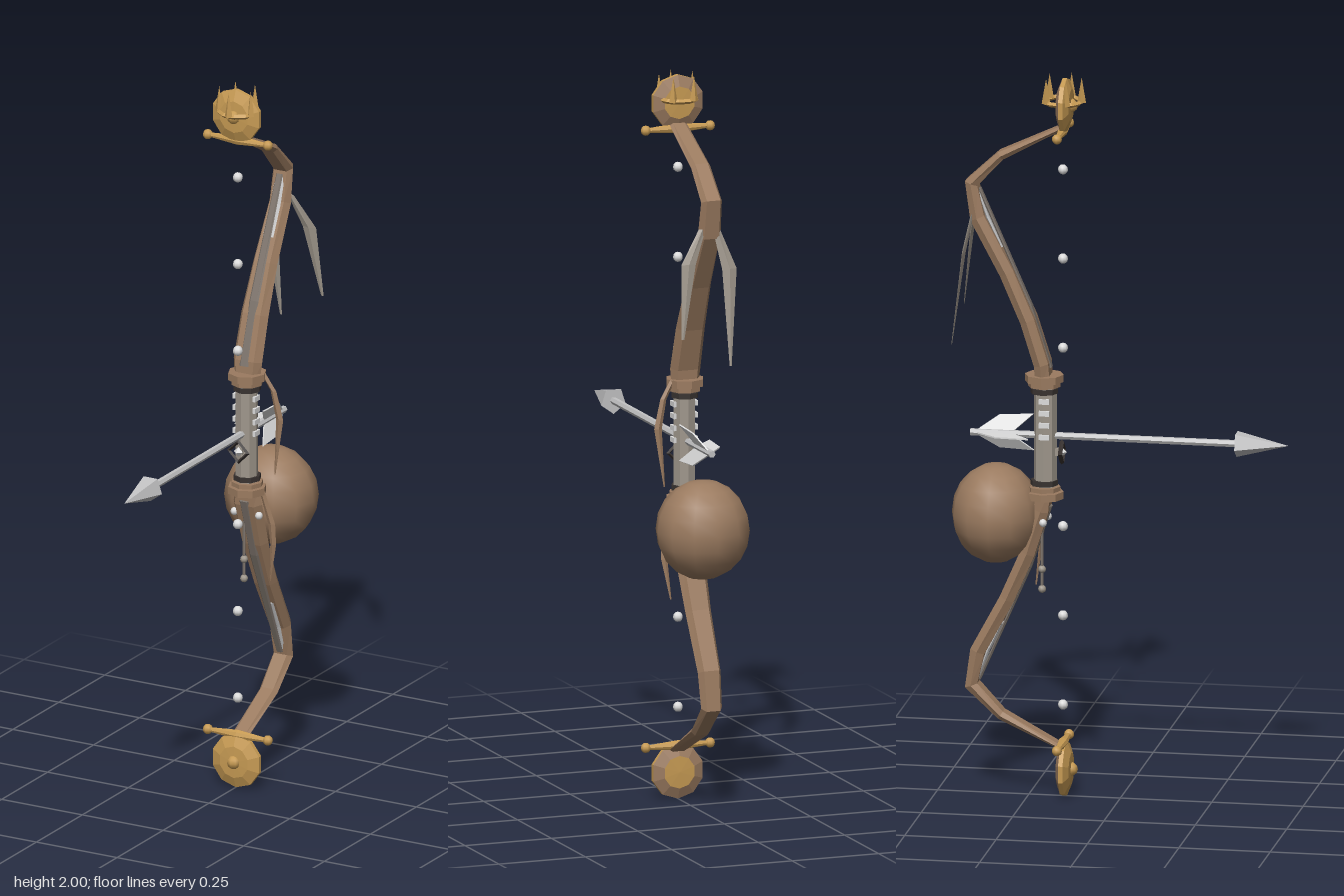
import * as THREE from 'three';

const mat = (name, color) => {
  const m = new THREE.MeshStandardMaterial({ color });
  m.name = name;
  return m;
};

// Faceted copy of a geometry
const facet = (g) => {
  const f = g.index ? g.toNonIndexed() : g;
  f.computeVertexNormals();
  return f;
};

const SLAB = [[1, 0], [0.65, 1], [-0.65, 1], [-1, 0], [-0.65, -1], [0.65, -1]];
const BLADE = [[1, 0], [0, 1], [-1, 0], [0, -1]];

// Skin through stations [x, y, z, halfWidth, halfThickness]; width runs along x
function loft(stations, section) {
  const n = section.length, pos = [], idx = [];
  stations.forEach(([x, y, z, w, t], i) => {
    const a = stations[Math.max(0, i - 1)], b = stations[Math.min(stations.length - 1, i + 1)];
    const dy = b[1] - a[1], dz = b[2] - a[2], l = Math.hypot(dy, dz);
    for (const [u, v] of section) pos.push(x + u * w, y - (dz / l) * v * t, z + (dy / l) * v * t);
  });
  for (let i = 0; i < stations.length - 1; i++) {
    for (let j = 0; j < n; j++) {
      const a = i * n + j, b = i * n + (j + 1) % n;
      idx.push(a, a + n, b, b, a + n, b + n);
    }
  }
  const last = (stations.length - 1) * n;
  for (let j = 1; j < n - 1; j++) idx.push(0, j, j + 1, last, last + j + 1, last + j);
  const g = new THREE.BufferGeometry();
  g.setAttribute('position', new THREE.Float32BufferAttribute(pos, 3));
  g.setIndex(idx);
  return facet(g);
}

const lathe = (profile) => new THREE.LatheGeometry(profile.map(([r, y]) => new THREE.Vector2(r, y)), 10);

export function createModel() {
  const root = new THREE.Group();
  root.name = 'bow';
  const wood = mat('brown wood', 0x9b7b60);
  const gold = mat('gold', 0xc69a53);
  const steel = mat('steel', 0xc2c2c3);
  const silver = mat('silver', 0xdcdcdc);
  const dark = mat('dark iron', 0x383230);
  const grey = mat('warm grey', 0x9e968b);
  const inlayMat = mat('inlay grey', 0x7b726a);

  const place = (name, g, m, x, y, z, parent) => {
    const mesh = new THREE.Mesh(g, m);
    mesh.name = name;
    mesh.position.set(x, y, z);
    parent.add(mesh);
    return mesh;
  };
  const add = (name, g, m, x = 0, y = 0, z = 0, parent = root) => place(name, facet(g), m, x, y, z, parent);
  const addBall = (name, r, m, x, y, z) => place(name, new THREE.SphereGeometry(r, 8, 6), m, x, y, z, root);
  const SZ = -0.157; // depth of the string line

  for (const s of [1, -1]) {
    const side = s > 0 ? 'upper' : 'lower';
    const Y = (h) => (s > 0 ? 1 + h : 0.995 - h);

    // Recurved limb
    add(side + 'Limb', loft([
      [0, Y(0.14), -0.208, 0.038, 0.02],
      [0, Y(0.2), -0.212, 0.044, 0.02],
      [0, Y(0.32), -0.25, 0.042, 0.02],
      [0, Y(0.45), -0.307, 0.037, 0.02],
      [0, Y(0.6), -0.388, 0.033, 0.02],
      [0, Y(0.695), -0.405, 0.03, 0.018],
      [0, Y(0.775), -0.325, 0.028, 0.012],
      [0, Y(0.86), SZ, 0.025, 0.006],
    ], SLAB), wood);

    // Straight inlay in front of the limb, with a bright strip behind it at the bend
    add(side + 'Inlay', loft([
      [0, Y(0.19), -0.19, 0.014, 0.004],
      [0, Y(0.36), -0.245, 0.014, 0.004],
      [0, Y(0.68), -0.385, 0.01, 0.004],
    ], SLAB), inlayMat);
    add(side + 'BendStrip', loft([
      [0, Y(0.52), -0.322, 0.016, 0.003],
      [0, Y(0.6), -0.361, 0.016, 0.004],
      [0, Y(0.68), -0.39, 0.014, 0.003],
    ], SLAB), steel);

    // Collars at the grip
    add(side + 'Collar', new THREE.CylinderGeometry(0.053, 0.053, 0.02, 8), wood, 0, Y(0.16), -0.208);
    add(side + 'CollarRim', new THREE.CylinderGeometry(0.044, 0.044, 0.012, 8), wood, 0, Y(0.142), -0.208);
    add(side + 'CollarBand', new THREE.CylinderGeometry(0.038, 0.038, 0.014, 8), dark, 0, Y(0.125), -0.208);

    // Crossguard with ball ends
    for (const e of [1, -1]) {
      const arm = add(side + 'GuardArm', new THREE.CylinderGeometry(0.006, 0.014, 0.09, 8), gold, e * 0.045, Y(0.848), SZ);
      arm.rotation.z = -e * Math.PI / 2;
      addBall(side + 'GuardBall', 0.014, gold, e * 0.093, Y(0.848), SZ);
    }

    // Round pommel: gold face and boss, wooden back ring with a gold centre
    const pommel = new THREE.Group();
    pommel.name = side + 'Pommel';
    pommel.position.set(0, Y(0.92), SZ + 0.005);
    pommel.rotation.x = Math.PI / 2;
    root.add(pommel);
    add('pommelFace', lathe([[0.075, -0.006], [0.075, 0.006], [0.045, 0.018], [0, 0.02]]), gold, 0, 0, 0, pommel);
    add('pommelBackRing', lathe([[0.045, -0.018], [0.075, -0.006]]), wood, 0, 0, 0, pommel);
    add('pommelBackCentre', lathe([[0, -0.02], [0.045, -0.018]]), gold, 0, 0, 0, pommel);
    addBall(side + 'PommelBoss', 0.019, gold, 0, Y(0.92), SZ + 0.022);
  }

  // Crown over the top pommel
  const crown = new THREE.Group();
  crown.name = 'crown';
  crown.position.set(0, 1.93, SZ);
  root.add(crown);
  const band = new THREE.TorusGeometry(0.05, 0.007, 4, 10);
  band.rotateX(Math.PI / 2);
  add('crownBand', band, gold, 0, 0, 0, crown);
  for (let i = 0; i < 5; i++) {
    const a = i * Math.PI * 0.4 + 0.3;
    add('crownSpike', new THREE.ConeGeometry(0.012, 0.07, 4), gold, 0.051 * Math.cos(a), 0.034, 0.051 * Math.sin(a), crown);
  }

  // Beads along the string line
  for (let i = -3; i <= 3; i++) {
    if (i) addBall('stringBead', 0.014, silver, 0, 0.997 + i * 0.248, SZ);
  }

  // Grip with studs
  add('grip', new THREE.CylinderGeometry(0.031, 0.031, 0.28, 8), grey, 0, 1, -0.205);
  for (const e of [1, -1]) {
    for (let i = 0; i < 4; i++) {
      add('gripStud', new THREE.BoxGeometry(0.008, 0.014, 0.028), silver, e * 0.031, 1.1 - i * 0.033, -0.203);
    }
  }

  // Diamond emblem on the front of the grip
  add('emblemRing', new THREE.TorusGeometry(0.029, 0.006, 4, 4), dark, 0, 0.955, -0.16);
  add('emblemMount', new THREE.BoxGeometry(0.014, 0.02, 0.03), grey, 0, 0.955, -0.182);
  add('emblemGem', new THREE.OctahedronGeometry(0.014), silver, 0, 0.955, -0.16);

  // Arrow with swept vanes
  const shaftGeo = new THREE.CylinderGeometry(0.01, 0.01, 0.74, 6);
  shaftGeo.rotateY(Math.PI / 6);
  const shaft = add('arrowShaft', shaftGeo, steel, 0, 1, -0.04);
  shaft.rotation.x = Math.PI / 2;
  const head = add('arrowHead', new THREE.ConeGeometry(0.037, 0.143, 5), steel, 0, 1, 0.389);
  head.rotation.x = Math.PI / 2;
  const vane = new THREE.Shape([[0.005, -0.295], [0.058, -0.242], [0.052, -0.335], [0.005, -0.395]]
    .map(([r, z]) => new THREE.Vector2(r, z)));
  for (const a of [60, 180, 300]) {
    const g = new THREE.ExtrudeGeometry(vane, { depth: 0.004, bevelEnabled: false });
    g.translate(0, 0, -0.002);
    g.rotateX(Math.PI / 2);
    g.rotateZ(a * Math.PI / 180);
    add('arrowVane', g, silver, 0, 1, 0);
  }

  // Smooth ball behind the lower limb
  const ball = place('ball', new THREE.SphereGeometry(0.13, 12, 10), wood, 0, 0.779, -0.34, root);
  ball.scale.set(1, 1.05, 0.93);

  // Hanging streamers
  add('longStreamer', loft([
    [-0.015, 1.62, -0.4, 0.01, 0.004], [-0.046, 1.51, -0.42, 0.021, 0.005],
    [-0.036, 1.25, -0.455, 0.003, 0.001],
  ], BLADE), grey);
  add('shortStreamer', loft([
    [0.025, 1.62, -0.4, 0.01, 0.004], [0.072, 1.53, -0.42, 0.021, 0.005],
    [0.098, 1.33, -0.445, 0.004, 0.001],
  ], BLADE), grey);
  add('gripStreamer', loft([
    [0.04, 1.17, -0.222, 0.008, 0.006], [0.07, 1.12, -0.228, 0.009, 0.006],
    [0.087, 1.04, -0.232, 0.011, 0.006], [0.07, 0.88, -0.236, 0.002, 0.002],
  ], BLADE), wood);
  add('lowStreamer', loft([
    [0.04, 0.84, -0.215, 0.008, 0.005], [0.066, 0.74, -0.225, 0.011, 0.005],
    [0.068, 0.68, -0.23, 0.009, 0.005], [0.053, 0.57, -0.24, 0.002, 0.002],
  ], BLADE), wood);

  // Pendant cord with beads
  add('pendantCord', new THREE.CylinderGeometry(0.004, 0.004, 0.25, 6), inlayMat, -0.012, 0.7, -0.212);
  for (const y of [0.575, 0.63]) addBall('pendantBead', 0.011, grey, -0.012, y, -0.212);
  for (const x of [-0.038, 0.038]) addBall('sideBead', 0.011, silver, x, 0.765, -0.205);

  return root;
}
